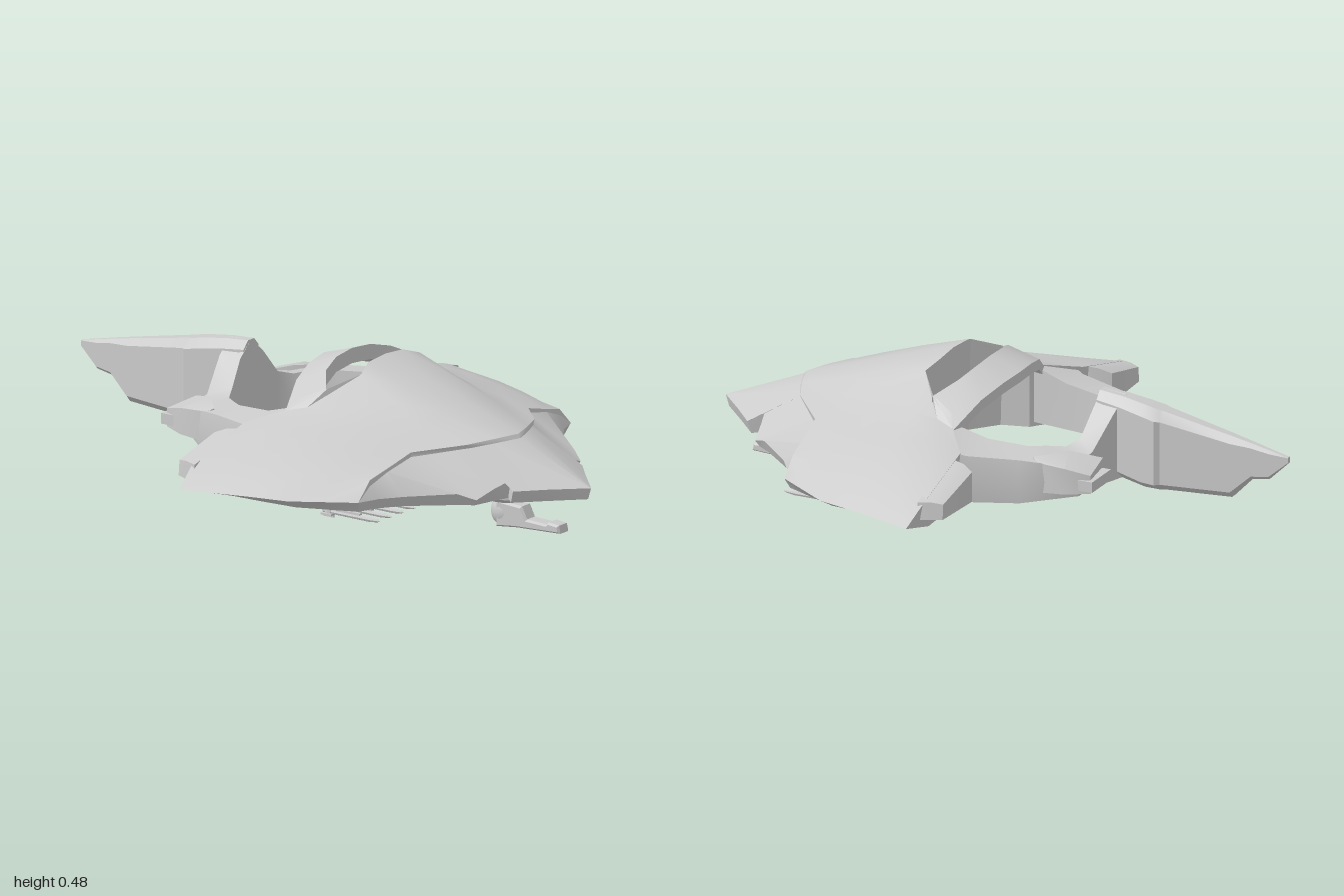
import * as THREE from 'three';
import { mergeGeometries, toCreasedNormals } from 'three/addons/utils/BufferGeometryUtils.js';

const material = new THREE.MeshStandardMaterial({ color: 0xcccccc, side: THREE.DoubleSide });

// Skin stretched over rows of [x, y, z] points, optionally mirrored across x = 0
function skin(rows, { mirror = true, closed = false } = {}) {
  const pos = [];
  const tri = (s, ...pts) => (s < 0 ? pts.reverse() : pts).forEach(p => pos.push(p[0] * s, p[1], p[2]));
  for (const s of mirror ? [1, -1] : [1])
    for (let i = 0; i < rows.length - 1; i++) {
      const n = rows[i].length;
      for (let j = 0; j < (closed ? n : n - 1); j++) {
        const k = (j + 1) % n;
        const a = rows[i][j], b = rows[i][k], c = rows[i + 1][k], d = rows[i + 1][j];
        tri(s, a, b, c);
        tri(s, a, c, d);
      }
    }
  const g = new THREE.BufferGeometry();
  g.setAttribute('position', new THREE.Float32BufferAttribute(pos, 3));
  return g;
}

// Closes both ends of a loft by shrinking the end rows to their centres
function capped(rows) {
  const flat = row => {
    const c = [0, 1, 2].map(i => row.reduce((sum, p) => sum + p[i], 0) / row.length);
    return row.map(() => c);
  };
  return [flat(rows[0]), ...rows, flat(rows.at(-1))];
}

function add(parent, name, geometry, crease = 0.6) {
  const mesh = new THREE.Mesh(toCreasedNormals(geometry, crease), material);
  mesh.name = name;
  parent.add(mesh);
  return mesh;
}

const drop = (row, y) => row.map(p => [p[0], y, p[2]]);

export function createModel() {
  const model = new THREE.Group();
  model.name = 'hoverGunship';
  const floor = 0.145;

  // Upper shell: canopy in the middle, wings sloping to a sharp edge
  const lip = [[0, .312, .71], [.09, .31, .68], [.18, .305, .64], [.31, .29, .52], [.4, .265, .51], [.5, .24, .5], [.56, .18, .5]];
  const shell = [
    lip,
    [[0, .385, .5], [.12, .37, .5], [.19, .338, .47], [.31, .308, .43], [.42, .285, .42], [.53, .24, .41], [.62, .18, .405]],
    [[0, .435, .35], [.11, .425, .35], [.17, .395, .35], [.29, .335, .33], [.42, .305, .32], [.57, .245, .31], [.68, .18, .31]],
    [[0, .484, .19], [.09, .477, .19], [.155, .455, .21], [.285, .36, .19], [.42, .327, .18], [.61, .25, .18], [.71, .18, .18]],
  ];
  const aft = [
    shell[3].slice(2),
    [[.24, .415, .14], [.29, .36, .1], [.41, .335, .06], [.64, .25, .06], [.745, .18, .06]],
    [[.27, .38, .06], [.31, .345, .035], [.42, .315, -.05], [.67, .25, -.06], [.775, .18, -.04]],
  ];
  add(model, 'upperShell', mergeGeometries([skin(shell), skin(aft)]));

  // Nose and flanks, set a little below the front lip of the shell
  const brow = [[0, .3, .72], [.09, .297, .685], [.13, .295, .665], [.16, .293, .65], [.2, .285, .61], [.25, .28, .565], [.31, .275, .52], [.42, .25, .51], [.5, .22, .5], [.56, .18, .5]];
  const rim = [[0, .183, .995], [.1, .185, .9], [.183, .185, .825], [.142, .205, .785], [.2, .19, .768], [.275, .165, .75], [.31, .185, .7], [.42, .18, .575], [.49, .18, .525], [.56, .18, .5]];
  const keel = drop(rim, floor).map(p => [p[0] * .97, p[1], p[2] - .012]);
  add(model, 'noseAndFlanks', skin([rim, brow]), 0.5);
  add(model, 'noseRim', skin([keel, rim]), 0.5);
  const lipUnder = [brow[0], brow[1], brow[3], brow[6], brow[7], brow[8], brow[9]];
  add(model, 'shellLip', skin([lipUnder, lip]));

  // Wing underside from the sharp edge in to the belly
  const wingEdge = [...shell, ...aft.slice(1)].map(row => row.at(-1));
  const bellyEdge = [keel.at(-1), [.58, floor, .4], [.62, floor, .3], [.63, floor, .18], [.635, floor, .06], [.64, floor, -.05]];
  add(model, 'wingUnderside', skin([wingEdge, bellyEdge]));

  // Walls of the opening behind the canopy, then the rear of the wings
  const wallTop = [...shell[3].slice(0, 3), aft[1][0], ...aft[2]];
  const wallFoot = [[0, floor, .2], [.09, floor, .2], [.16, floor, .22], [.245, floor, .15], [.27, floor, .06], [.31, floor, .03], [.44, floor, -.04], [.63, floor, -.05], [.64, floor, -.05]];
  add(model, 'openingAndRearWalls', skin([wallTop, wallFoot]), 0.5);

  // Flat belly
  const half = [...keel, ...bellyEdge.slice(1), ...wallFoot.slice(0, 8).reverse()];
  const outline = [...half, ...half.slice(1, -1).reverse().map(p => [-p[0], p[1], p[2]])];
  const belly = new THREE.ShapeGeometry(new THREE.Shape(outline.map(p => new THREE.Vector2(p[0], p[2]))));
  belly.rotateX(Math.PI / 2).translate(0, floor, 0);
  add(model, 'belly', belly);

  // Arch bridging the gap behind the canopy: front and rear edges per station
  const arch = [
    [[0, .48, .06], [0, .447, -.05]],
    [[.09, .473, .065], [.1, .437, -.036]],
    [[.17, .452, .085], [.2, .41, -.01]],
    [[.245, .412, .14], [.31, .342, .03]],
  ].map(([f, r]) => [f, r, [r[0], r[1] - .035, r[2]], [f[0], f[1] - .05, f[2]]]);
  add(model, 'canopyArch', skin(arch, { closed: true }));

  // Tail ring: inner xz, outer xz, bottom y, top inner y, top outer y
  const ring = [
    [.28, .05, .42, -.02, floor, .35, .312],
    [.268, -.07, .4, -.06, floor, .315, .3],
    [.245, -.2, .345, -.22, .15, .305, .295],
    [.215, -.25, .325, -.29, .165, .305, .29],
    [.17, -.295, .25, -.38, .17, .295, .28],
    [.12, -.32, .165, -.385, .17, .31, .29],
    [.06, -.333, .065, -.41, .165, .39, .39],
    [0, -.335, 0, -.42, .16, .44, .435],
  ].map(([ix, iz, ox, oz, y, ti, to]) => [
    [ix, y + .015, iz], [ix, ti, iz], [ox, to, oz], [ox + (ox > .2 ? .008 : 0), (y + to) / 2, oz], [ox, y, oz]]);
  add(model, 'tailRing', skin(ring, { closed: true }), 0.8);

  // Tail fin: z, top, bottom, half width
  const fin = [
    [-.335, .44, .18, .04], [-.42, .434, .16, .05], [-.5, .422, .145, .06], [-.55, .413, .146, .066], [-.565, .41, .147, .054],
    [-.8, .365, .16, .03], [-.87, .351, .232, .022], [-.93, .338, .242, .016], [-.995, .325, .305, .008],
  ].map(([z, t, b, w]) => {
    const h = (t - b) * .1;
    return [[w * .4, t, z], [w, t - h, z], [w, b + h, z], [w * .4, b, z], [-w * .4, b, z], [-w, b + h, z], [-w, t - h, z], [-w * .4, t, z]];
  });
  add(model, 'tailFin', skin(capped(fin), { mirror: false, closed: true }), 0.5);

  // Thruster cowls on the ring, each with a nozzle block
  const cowl = [
    [[.31, .3, -.25], [.325, .29, -.27], [.325, .19, -.27], [.27, .17, -.25]],
    [[.22, .305, -.33], [.325, .285, -.37], [.328, .2, -.37], [.2, .17, -.33]],
    [[.17, .28, -.425], [.295, .265, -.445], [.295, .205, -.445], [.17, .19, -.425]],
  ];
  add(model, 'thrusterCowls', skin(capped(cowl), { closed: true }), 0.5);
  const nozzle = [-.36, -.458].map(z => [[.18, .25, z], [.31, .25, z], [.31, .215, z], [.18, .215, z]]);
  add(model, 'thrusterNozzles', skin(capped(nozzle), { closed: true }), 0.5);

  // Pods on the trailing edge of the wings
  const pod = [
    [[.455, .305, -.04], [.695, .243, -.04], [.7, .185, -.04], [.46, .16, -.04]],
    [[.465, .3, -.085], [.682, .245, -.085], [.685, .187, -.085], [.468, .17, -.085]],
    [[.48, .285, -.122], [.67, .24, -.118], [.675, .19, -.118], [.48, .185, -.122]],
  ];
  add(model, 'wingPods', skin(capped(pod), { closed: true }), 0.5);

  // Chin turret: mount, ball and gun
  const turret = new THREE.Group();
  turret.name = 'chinTurret';
  model.add(turret);
  const mount = new THREE.LatheGeometry([[0, .09], [.06, .095], [.076, .108], [.076, .13], [.066, .148]].map(p => new THREE.Vector2(...p)), 16);
  add(turret, 'turretMount', mount).position.z = .665;
  const ball = add(turret, 'turretBall', new THREE.SphereGeometry(.048, 14, 10), 1);
  ball.scale.x = .65;
  ball.position.set(0, .05, .655);
  const gunSide = [[.64, .003], [.72, .012], [.89, .02], [.885, .046], [.845, .05], [.835, .042], [.76, .045], [.74, .084], [.64, .09]];
  const gun = new THREE.ExtrudeGeometry(new THREE.Shape(gunSide.map(p => new THREE.Vector2(...p))),
    { depth: .04, bevelSize: .006, bevelThickness: .008, bevelOffset: -.006, bevelSegments: 1 });
  gun.translate(0, 0, -.02).rotateY(-Math.PI / 2);
  add(turret, 'turretGun', gun);

  // Four missiles under each wing
  const body = new THREE.LatheGeometry([[0, -.11], [.008, -.11], [.009, .07], [.005, .1], [0, .112]].map(p => new THREE.Vector2(...p)), 8).rotateX(Math.PI / 2);
  const parts = [
    body,
    new THREE.BoxGeometry(.034, .006, .04).translate(0, -.008, -.09),
    new THREE.BoxGeometry(.006, .045, .04).translate(0, .004, -.09),
    new THREE.BoxGeometry(.012, .014, .13).translate(0, .006, -.03),
    new THREE.CylinderGeometry(.007, .014, .045, 8).translate(0, .018, -.088),
  ].map(g => g.toNonIndexed());
  const missile = mergeGeometries(parts);
  for (const side of [1, -1])
    for (let i = 0; i < 4; i++)
      add(model, 'missile', missile).position.set(side * (.307 + i * .062), .11, .425);

  return model;
}
